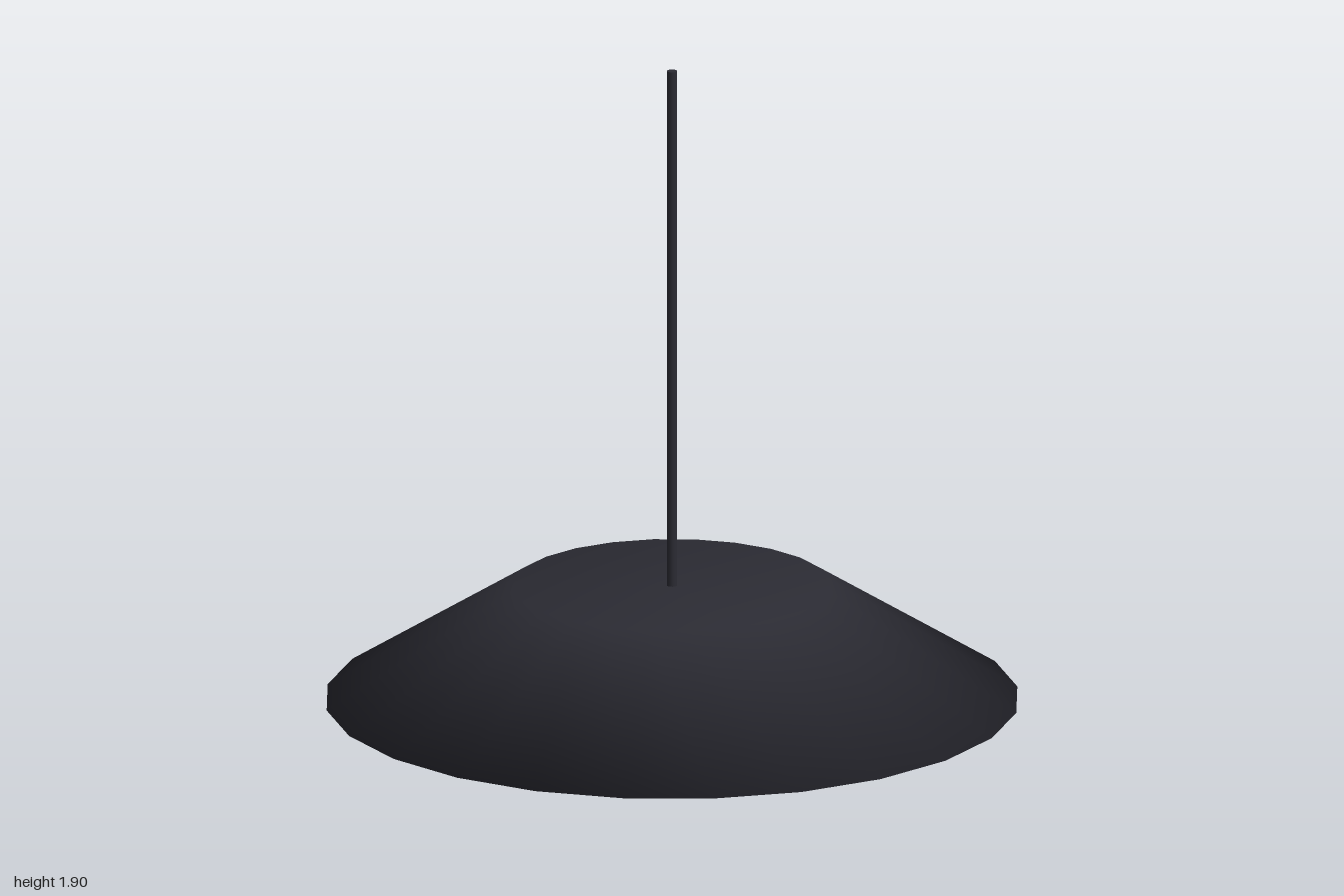
import * as THREE from 'three';

// Closed frustum whose rim normals blend the side and cap directions (soft shading).
function softFrustum(bottomR, bottomY, topR, topY, sides) {
  const profile = [[0, bottomY], [bottomR, bottomY], [topR, topY], [0, topY]]
    .map(([r, y]) => new THREE.Vector2(r, y));
  const geometry = new THREE.LatheGeometry(profile, sides);
  const side = new THREE.Vector2(topY - bottomY, bottomR - topR).normalize();
  const down = new THREE.Vector2(0, -1);
  const up = new THREE.Vector2(0, 1);
  const blends = [down, side.clone().add(down).normalize(), side.clone().add(up).normalize(), up];
  const normals = geometry.attributes.normal;
  for (let i = 0; i < normals.count; i++) {
    const angle = (Math.floor(i / 4) / sides) * Math.PI * 2;
    const n = blends[i % 4];
    normals.setXYZ(i, n.x * Math.sin(angle), n.y, n.x * Math.cos(angle));
  }
  return geometry;
}

export function createModel() {
  const group = new THREE.Group();
  group.name = 'pendantLamp';

  const darkMetal = new THREE.MeshStandardMaterial({ color: 0x2b2b33 });
  darkMetal.name = 'dark metal';
  const warmDiffuser = new THREE.MeshStandardMaterial({ color: 0xc4b291 });
  warmDiffuser.name = 'warm diffuser';

  const add = (name, geometry, material) => {
    const mesh = new THREE.Mesh(geometry, material);
    mesh.name = name;
    group.add(mesh);
  };

  // Wide sloping shade with a flat top
  add('shade', softFrustum(1, 0.02, 0.46, 0.36, 24), darkMetal);

  // Thin light panel set just below the shade
  add('diffuser', softFrustum(0.86, 0, 0.86, 0.024, 24), warmDiffuser);

  // Hanging rod
  const rod = new THREE.CylinderGeometry(0.015, 0.015, 1.555, 12);
  rod.translate(0, 0.35 + 1.555 / 2, 0);
  add('rod', rod, darkMetal);

  return group;
}
